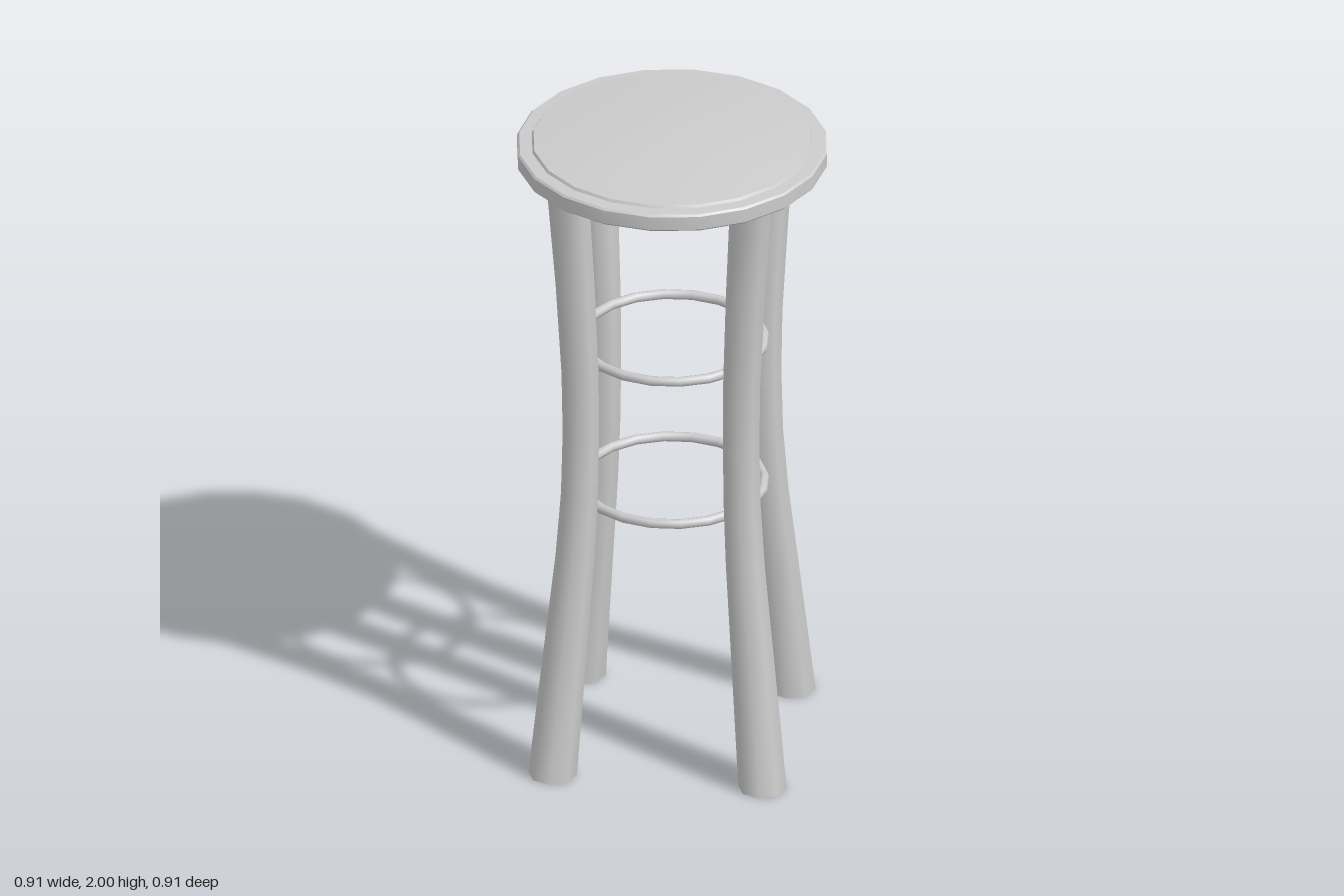
import * as THREE from 'three';
import { toCreasedNormals } from 'three/addons/utils/BufferGeometryUtils.js';

const material = new THREE.MeshStandardMaterial({ color: 0xcccccc });
const openMaterial = new THREE.MeshStandardMaterial({ color: 0xcccccc, side: THREE.DoubleSide });

// Leg cross-sections from floor to seat: [height, distance from the middle, radius]
const LEG = [
  [0, 0.44, 0.072], [0.4, 0.393, 0.064], [0.7, 0.357, 0.058], [0.9, 0.341, 0.055], [1.1, 0.336, 0.054],
  [1.3, 0.339, 0.055], [1.6, 0.357, 0.058], [1.915, 0.383, 0.062],
];

// Open eight-sided tube that bows inwards at mid height
function legGeometry() {
  const rows = LEG.length - 1;
  const geometry = new THREE.CylinderGeometry(1, 1, 1, 8, rows, true);
  const p = geometry.attributes.position;
  for (let i = 0; i < p.count; i++) {
    const [y, out, r] = LEG[Math.round((p.getY(i) + 0.5) * rows)];
    p.setXYZ(i, p.getX(i) * r, y, p.getZ(i) * r + out);
  }
  return toCreasedNormals(geometry, 1.2);
}

// Twenty-sided seat with a softened rim and a low domed pad
function seatGeometry() {
  const profile = [
    [0, 1.91], [0.453, 1.91], [0.459, 1.916], [0.459, 1.958], [0.453, 1.964], [0.416, 1.966],
    [0.411, 1.974], [0.3, 1.986], [0.15, 1.996], [0, 2],
  ].map(([r, y]) => new THREE.Vector2(r, y));
  const geometry = new THREE.LatheGeometry(profile, 20, THREE.MathUtils.degToRad(5));
  return toCreasedNormals(geometry, 0.5);
}

export function createModel() {
  const model = new THREE.Group();
  model.name = 'barStool';

  const add = (name, geometry, mat = material) => {
    const mesh = new THREE.Mesh(geometry, mat);
    mesh.name = name;
    model.add(mesh);
    return mesh;
  };

  add('seat', seatGeometry());

  // Four splayed legs, turned slightly off the diagonals
  const leg = legGeometry();
  ['frontRightLeg', 'frontLeftLeg', 'backLeftLeg', 'backRightLeg'].forEach((name, i) => {
    add(name, leg, openMaterial).rotation.y = THREE.MathUtils.degToRad(-40 + 90 * i);
  });

  // Two ring stretchers joining the legs
  const ring = new THREE.TorusGeometry(0.272, 0.015, 8, 20).rotateX(Math.PI / 2);
  add('lowerRing', ring).position.y = 0.835;
  add('upperRing', ring).position.y = 1.31;

  return model;
}
